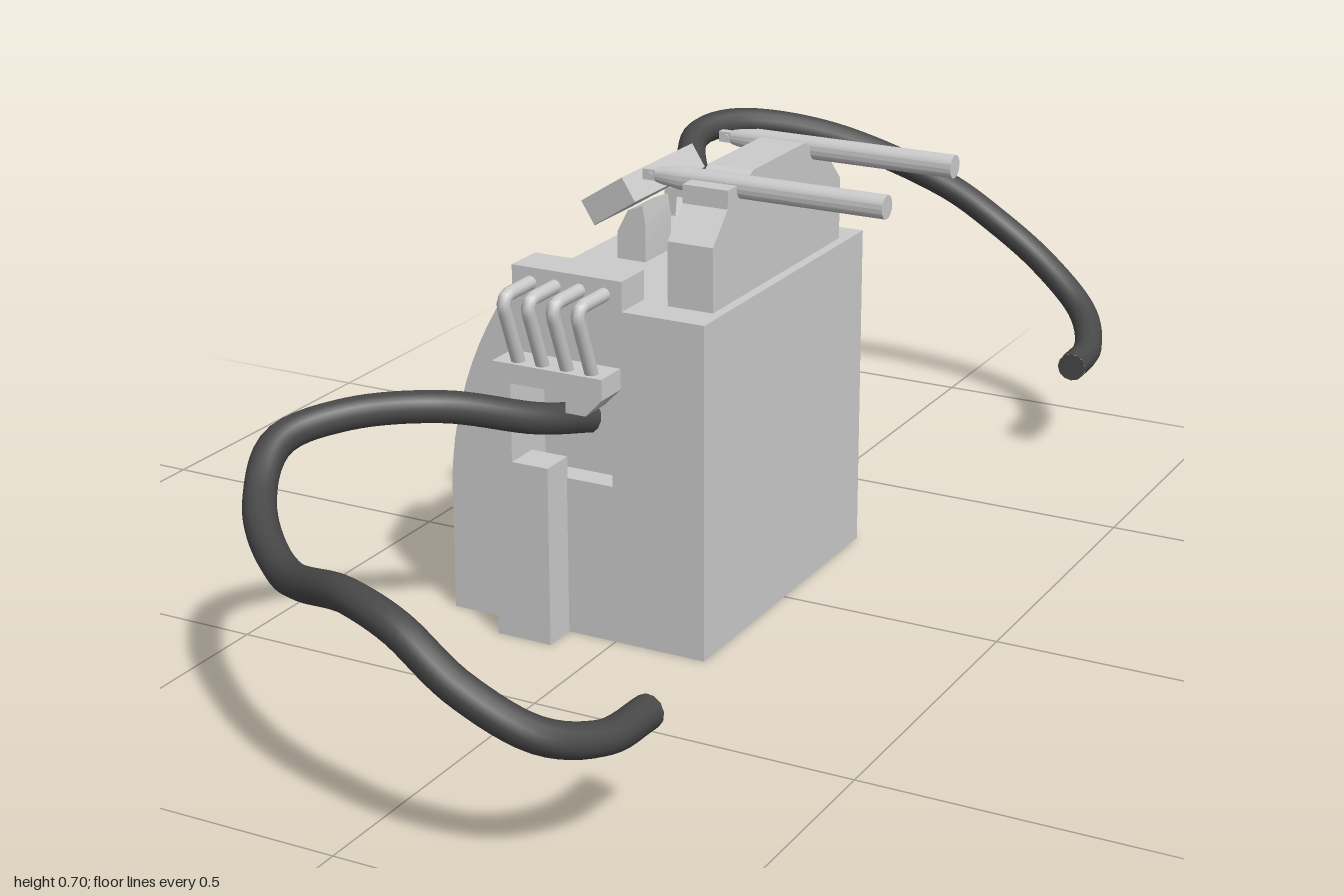
import * as THREE from 'three';
import { toCreasedNormals } from 'three/addons/utils/BufferGeometryUtils.js';

const grey = new THREE.MeshStandardMaterial({ color: 0xcccccc });
const rubber = new THREE.MeshStandardMaterial({ color: 0x484848 });

const V = (x, y, z) => new THREE.Vector3(x, y, z);

function add(parent, name, geometry, pos = [0, 0, 0], material = grey) {
  const mesh = new THREE.Mesh(geometry, material);
  mesh.name = name;
  mesh.position.set(...pos);
  parent.add(mesh);
  return mesh;
}

const polygon = pts => new THREE.Shape(pts.map(p => new THREE.Vector2(...p)));
const rect = (x0, y0, x1, y1) => polygon([[x0, y0], [x1, y0], [x1, y1], [x0, y1]]);
const extrude = (shape, depth) => toCreasedNormals(
  new THREE.ExtrudeGeometry(shape, { depth, bevelEnabled: false, curveSegments: 10 }), 0.5);
const box = (w, h, d) => new THREE.BoxGeometry(w, h, d);
const path = pts => new THREE.CatmullRomCurve3(pts.map(p => V(...p)));

// Housing profile with one rounded shoulder
function housingShape() {
  const s = new THREE.Shape();
  s.moveTo(-0.28, 0);
  s.lineTo(0.148, 0);
  s.lineTo(0.148, 0.518);
  s.lineTo(-0.178, 0.518);
  s.quadraticCurveTo(-0.27, 0.38, -0.28, 0.21);
  return s;
}

// Cable with capped ends
function cable(parent, pts) {
  const g = new THREE.Group();
  g.name = 'cable';
  parent.add(g);
  const curve = path(pts), r = 0.024;
  add(g, 'cableHose', new THREE.TubeGeometry(curve, 90, r, 12), [0, 0, 0], rubber);
  const cap = add(g, 'cableEnd', new THREE.CircleGeometry(r, 12), pts[pts.length - 1], rubber);
  cap.lookAt(curve.getPoint(1).add(curve.getTangent(1)));
}

// Everything on one side wall, built towards +z
function sideFittings() {
  const g = new THREE.Group();
  g.name = 'sideFittings';

  // Outer wall with a cable pocket
  const wall = housingShape();
  wall.holes.push(rect(-0.14, 0.247, -0.003, 0.402));
  add(g, 'sideWall', extrude(wall, 0.04), [0, 0, 0.225]);

  // Pillar and cable bracket in one piece
  add(g, 'cablePillar', extrude(polygon([
    [-0.17, 0], [-0.08, 0], [-0.08, 0.28], [-0.14, 0.28], [-0.14, 0.402], [-0.048, 0.402],
    [-0.048, 0.372], [-0.015, 0.372], [0.012, 0.4], [0.012, 0.432], [-0.17, 0.432],
  ]), 0.057), [0, 0, 0.263]);

  // Pipe manifold and its sloping fairing
  add(g, 'pipeManifold', box(0.182, 0.045, 0.066), [-0.076, 0.5405, 0.232]);
  const fairing = box(0.14, 0.034, 0.062);
  const p = fairing.attributes.position;
  for (let i = 0; i < p.count; i++) if (p.getZ(i) < 0) {
    p.setX(i, p.getX(i) * 0.58);
    if (p.getY(i) > 0) p.setY(i, -0.012);
  }
  fairing.computeVertexNormals();
  add(g, 'manifoldFairing', fairing, [-0.076, 0.534, 0.17]);

  // Four bent pipes
  const bend = new THREE.CurvePath();
  bend.add(new THREE.LineCurve3(V(0, 0.54, 0.255), V(0, 0.54, 0.32)));
  bend.add(new THREE.QuadraticBezierCurve3(V(0, 0.54, 0.32), V(0, 0.54, 0.347), V(0, 0.515, 0.336)));
  bend.add(new THREE.LineCurve3(V(0, 0.515, 0.336), V(0, 0.425, 0.3)));
  for (let i = 0; i < 4; i++)
    add(g, 'pipe', new THREE.TubeGeometry(bend, 20, 0.0105, 10), [-0.136 + i * 0.0407, 0, 0]);
  return g;
}

// Barrel running along x with a tapered breech
function barrel(z) {
  const g = new THREE.Group();
  g.name = 'barrel';
  const profile = [[0, -0.005], [0.011, -0.005], [0.013, 0.004], [0.0175, 0.035], [0.0175, 0.36], [0, 0.36]];
  const tube = new THREE.LatheGeometry(profile.map(q => new THREE.Vector2(...q)), 16);
  add(g, 'barrelTube', toCreasedNormals(tube, 0.6)).rotation.z = -Math.PI / 2;
  add(g, 'barrelTip', box(0.024, 0.016, 0.014), [-0.014, 0, 0]);
  const pin = add(g, 'tipPin', new THREE.CylinderGeometry(0.005, 0.005, 0.018, 10), [-0.014, 0, 0]);
  pin.rotation.x = Math.PI / 2;
  g.position.set(0, 0.683, z);
  return g;
}

export function createModel() {
  const model = new THREE.Group();
  model.name = 'controlUnit';

  // Housing core and both side walls
  add(model, 'housing', extrude(housingShape(), 0.45), [0, 0, -0.225]);
  const front = sideFittings();
  const back = sideFittings();
  back.traverse(o => {
    // Mirror the geometry and restore the corner order
    if (!o.isMesh) return;
    const geo = o.geometry.index ? o.geometry.toNonIndexed() : o.geometry.clone();
    geo.scale(1, 1, -1);
    for (const a of Object.values(geo.attributes)) {
      for (let i = 0; i < a.count; i += 3) for (let k = 0; k < a.itemSize; k++) {
        const t = a.getComponent(i, k);
        a.setComponent(i, k, a.getComponent(i + 1, k));
        a.setComponent(i + 1, k, t);
      }
    }
    o.geometry = geo;
    o.position.z *= -1;
  });
  model.add(front, back);

  // Framed window on the rounded shoulder
  const win = new THREE.Group();
  win.name = 'shoulderWindow';
  add(win, 'windowPane', box(0.012, 0.15, 0.22), [-0.002, 0, 0]);
  for (const s of [-1, 1]) {
    add(win, 'frameRail', box(0.024, 0.011, 0.24), [-0.002, s * 0.08, 0]);
    add(win, 'framePost', box(0.024, 0.16, 0.011), [-0.002, 0, s * 0.1145]);
  }
  add(win, 'windowDivider', box(0.018, 0.15, 0.008), [-0.002, 0, -0.085]);
  win.position.set(-0.253, 0.35, -0.13);
  win.rotation.z = -0.29;
  model.add(win);

  // Barrel mount with chamfered shoulders
  const half = [[0.21, 0.51], [0.21, 0.615], [0.165, 0.66], [0.165, 0.688], [0.105, 0.688], [0.085, 0.699]];
  const mount = extrude(polygon([...half, ...half.map(([a, b]) => [-a, b]).reverse()]), 0.073);
  mount.rotateY(Math.PI / 2);
  add(model, 'barrelMount', mount, [0.06, 0, 0]);
  add(model, 'latchBlock', box(0.014, 0.028, 0.05), [0.055, 0.646, 0.04]);
  add(model, 'latchTab', box(0.008, 0.016, 0.025), [0.057, 0.626, 0.04]);
  for (const s of [-1, 1]) model.add(barrel(s * 0.12));

  // Tilted display on a short stand
  const outline = k => [[0.002 + k, 0.06 - k], [0.03 + k / 2, 0.103 - k], [0.117 - k, 0.11 - k]];
  const plate = k => {
    const h = outline(k);
    return polygon([...h, ...h.map(([a, b]) => [a, -b]).reverse()]);
  };
  const display = new THREE.Group();
  display.name = 'display';
  const rim = plate(0);
  rim.holes.push(plate(0.011));
  const lay = (shape, depth) => extrude(shape, depth).rotateX(-Math.PI / 2);
  add(display, 'displayBack', lay(plate(0), 0.032));
  add(display, 'displayRim', lay(rim, 0.01), [0, 0.031, 0]);
  display.position.set(-0.147, 0.57, 0);
  display.rotation.z = 0.567;
  model.add(display);
  add(model, 'displayStand', extrude(polygon([
    [-0.118, 0.51], [-0.07, 0.51], [-0.07, 0.575], [-0.075, 0.605], [-0.1, 0.595], [-0.118, 0.56],
  ]), 0.08), [0, 0, -0.04]);

  // Two cables leaving the pockets
  cable(model, [
    [-0.06, 0.335, 0.23], [-0.09, 0.36, 0.33], [-0.18, 0.398, 0.44], [-0.285, 0.397, 0.53],
    [-0.335, 0.378, 0.62], [-0.305, 0.325, 0.71], [-0.18, 0.292, 0.83], [0, 0.337, 0.94],
    [0.09, 0.325, 0.97], [0.18, 0.265, 0.973], [0.27, 0.205, 0.935], [0.315, 0.175, 0.85], [0.323, 0.17, 0.75],
  ]);
  cable(model, [
    [-0.06, 0.335, -0.23], [-0.09, 0.36, -0.33], [-0.18, 0.412, -0.44], [-0.285, 0.48, -0.53],
    [-0.335, 0.525, -0.62], [-0.305, 0.535, -0.71], [-0.18, 0.5, -0.83], [0, 0.405, -0.94],
    [0.09, 0.34, -0.97], [0.18, 0.275, -0.973], [0.27, 0.21, -0.935], [0.315, 0.175, -0.85], [0.323, 0.17, -0.75],
  ]);

  return model;
}
